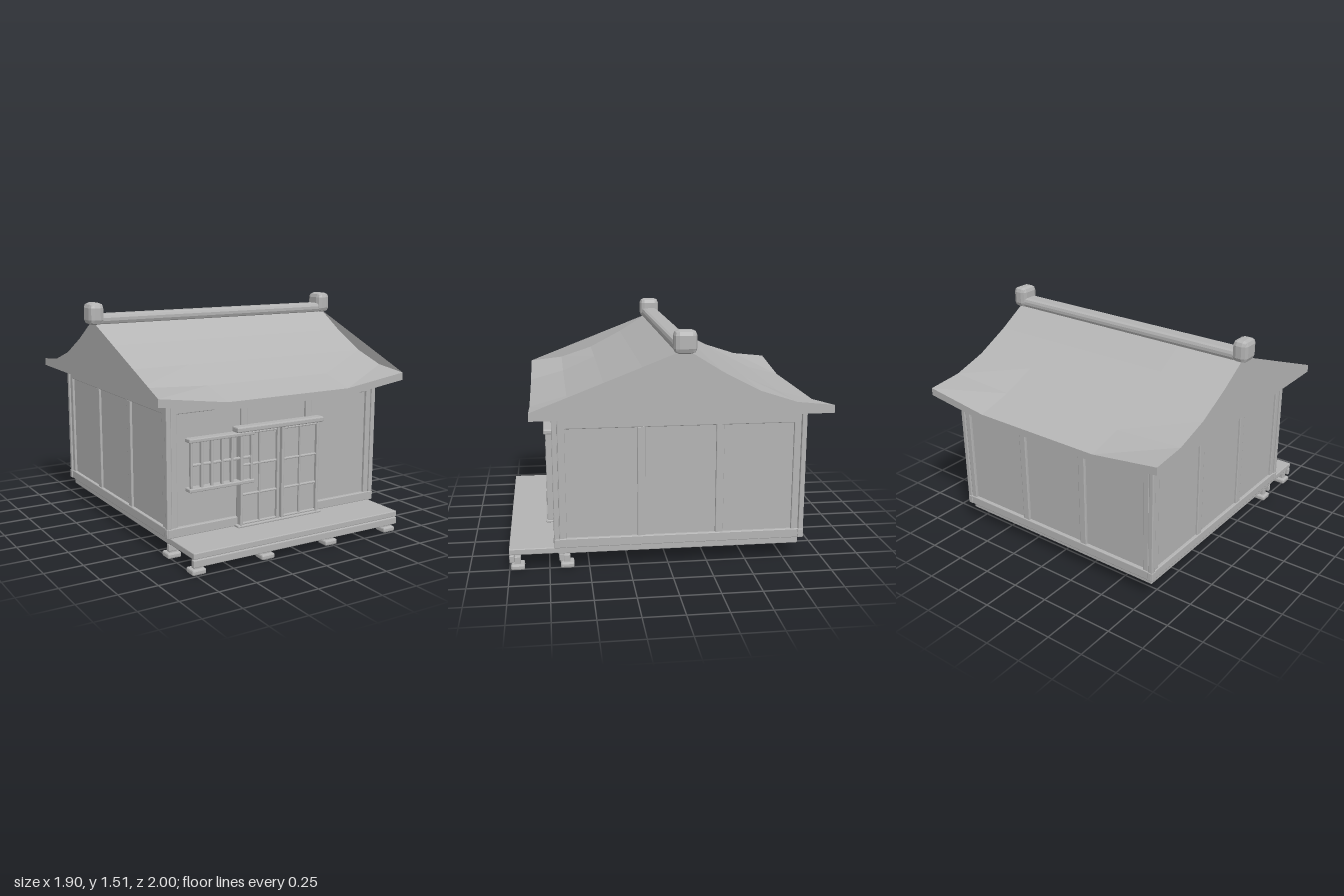
import * as THREE from 'three';
import { RoundedBoxGeometry } from 'three/addons/geometries/RoundedBoxGeometry.js';

const grey = new THREE.MeshStandardMaterial({ color: 0xb4b4b4, side: THREE.DoubleSide });
grey.name = 'plain grey';

const CZ = -0.075; // depth centre of the house

export function createModel() {
  const root = new THREE.Group();
  root.name = 'house';

  const group = (name) => {
    const g = new THREE.Group();
    g.name = name;
    root.add(g);
    return g;
  };
  const mesh = (parent, name, geometry) => {
    const m = new THREE.Mesh(geometry, grey);
    m.name = name;
    parent.add(m);
    return m;
  };
  // Box with chamfered edges, given by its limits on each axis
  const bar = (parent, name, [x0, x1], [y0, y1], [z0, z1], bevel = 0.005) => {
    const g = new RoundedBoxGeometry(x1 - x0, y1 - y0, z1 - z0, 1, bevel);
    g.computeVertexNormals();
    const m = mesh(parent, name, g);
    m.position.set((x0 + x1) / 2, (y0 + y1) / 2, (z0 + z1) / 2);
    return m;
  };

  // Floor and wall core
  const house = group('body');
  bar(house, 'floor', [-0.77, 0.77], [0.1, 0.148], [-0.84, 0.7]);
  bar(house, 'wallCore', [-0.77, 0.77], [0.14, 0.975], [-0.845, 0.695]);

  // Framed wall in its own plane: sill, head beam and four uprights
  const framedWall = (name, half, distance, angle, openings) => {
    const wall = new THREE.Group();
    wall.name = name;
    const out = [distance - 0.03, distance];
    bar(wall, 'sill', [-half - 0.012, half + 0.012], [0.145, 0.205], [distance - 0.03, distance + 0.006]);
    bar(wall, 'headBeam', [-half + 0.03, half - 0.03], [0.905, 0.972], out);
    const edge = half - 0.025;
    const inner = openings;
    for (const s of [-1, 1]) {
      const outer = [s * inner[2], s * edge].sort((a, b) => a - b);
      const middle = [s * inner[0], s * inner[1]].sort((a, b) => a - b);
      bar(wall, 'sidePost', outer, [0.2, 0.972], out);
      bar(wall, 'middlePost', middle, [0.2, 0.91], out);
    }
    wall.rotation.y = angle;
    wall.position.z = CZ;
    house.add(wall);
  };
  framedWall('frontWall', 0.785, 0.788, 0, [0.22, 0.27, 0.72]);
  framedWall('backWall', 0.785, 0.788, Math.PI, [0.22, 0.27, 0.72]);
  framedWall('leftWall', 0.785, 0.785, Math.PI / 2, [0.222, 0.272, 0.715]);
  framedWall('rightWall', 0.785, 0.785, -Math.PI / 2, [0.222, 0.272, 0.715]);

  // Corner posts
  for (const sx of [-1, 1]) for (const sz of [-1, 1]) {
    const x = sx * 0.778, z = CZ + sz * 0.778;
    bar(house, 'cornerPost', [x - 0.016, x + 0.016], [0.2, 0.972], [z - 0.016, z + 0.016]);
  }

  // Porch deck with two beams, each on four stub posts with feet
  const porch = group('porch');
  bar(porch, 'deck', [-0.77, 0.77], [0.104, 0.143], [0.69, 1.0]);
  for (const z of [0.985, 0.675]) {
    bar(porch, 'beam', [-0.77, 0.77], [0.053, 0.1], [z - 0.015, z + 0.015]);
    for (const x of [-0.725, -0.243, 0.238, 0.72]) {
      bar(porch, 'stubPost', [x - 0.025, x + 0.025], [0.03, 0.082], [z - 0.055, z - 0.014]);
      bar(porch, 'foot', [x - 0.046, x + 0.046], [0, 0.035], [z - 0.08, z + 0.006], 0.01);
    }
  }

  // Sliding doors with lattice
  const doors = group('doors');
  bar(doors, 'lintel', [-0.33, 0.325], [0.755, 0.79], [0.7, 0.77], 0.008);
  bar(doors, 'doorSill', [-0.32, 0.32], [0.143, 0.158], [0.7, 0.765]);
  [[-0.3, -0.008], [0.008, 0.3]].forEach(([a, b]) => {
    bar(doors, 'doorPanel', [a, b], [0.155, 0.76], [0.7, 0.735]);
    const z = [0.725, 0.757], mid = (a + b) / 2;
    for (const x of [a + 0.01, b - 0.01]) bar(doors, 'stile', [x - 0.01, x + 0.01], [0.155, 0.76], z);
    bar(doors, 'mullion', [mid - 0.006, mid + 0.006], [0.155, 0.75], [0.725, 0.75]);
    for (const y of [0.163, 0.352, 0.543, 0.745]) {
      bar(doors, 'rail', [a, b], [y - 0.007, y + 0.007], [0.725, 0.75]);
    }
  });

  // Barred window, standing slightly in front of the wall
  const lattice = group('windowLattice');
  for (const y of [0.436, 0.743]) bar(lattice, 'rail', [-0.662, -0.2], [y - 0.012, y + 0.012], [0.7, 0.762]);
  bar(lattice, 'middleRail', [-0.645, -0.21], [0.582, 0.598], [0.728, 0.75]);
  for (let i = 0; i < 7; i++) {
    const x = -0.642 + i * 0.071;
    bar(lattice, 'windowBar', [x - 0.008, x + 0.008], [0.435, 0.745], [0.728, 0.755]);
  }

  // Roof: sections lofted along x, eaves dipping in the middle
  const roof = group('roof');
  // half profile: distance from the ridge, height, dip in the middle sections
  const half = [[0.925, 0.99, 0.062], [0.925, 1.04, 0.064], [0.69, 1.065, 0.025],
    [0.46, 1.14, 0], [0.23, 1.26, 0], [0.03, 1.385, 0]];
  const section = (x, dip) => {
    const at = (s) => ([d, y, sag]) => new THREE.Vector3(x, y - dip * sag, CZ + s * d);
    return [...half.map(at(1)), ...half.map(at(-1)).reverse()];
  };
  const sections = [[-0.91, 0], [-0.45, 1], [0.45, 1], [0.91, 0]].map(([x, dip]) => section(x, dip));
  const points = [];
  for (let k = 0; k < sections.length - 1; k++) {
    const p = sections[k], q = sections[k + 1];
    for (let i = 0; i < p.length; i++) {
      const j = (i + 1) % p.length;
      points.push(p[i], q[i], q[j], p[i], q[j], p[j]);
    }
  }
  const shell = new THREE.BufferGeometry().setFromPoints(points);
  shell.computeVertexNormals();
  mesh(roof, 'roofShell', shell);

  // Gable ends, with a straight front edge
  for (const s of [-1, 1]) {
    const outline = section(0, 0).filter((p, i) => i < 2 || i > 4);
    const shape = new THREE.Shape(outline.map((p) => new THREE.Vector2(-s * p.z, p.y)));
    const gable = new THREE.ShapeGeometry(shape);
    gable.rotateY(s * Math.PI / 2).translate(s * 0.91, 0, 0);
    mesh(roof, 'gable', gable);
  }

  // Ridge beam with block ornaments
  bar(roof, 'ridgeBeam', [-0.88, 0.88], [1.375, 1.442], [CZ - 0.06, CZ + 0.06], 0.024);
  for (const s of [-1, 1]) {
    bar(roof, 'ridgeOrnament', [s * 0.9 - 0.051, s * 0.9 + 0.051], [1.374, 1.515], [CZ - 0.07, CZ + 0.07], 0.032);
  }
  return root;
}
